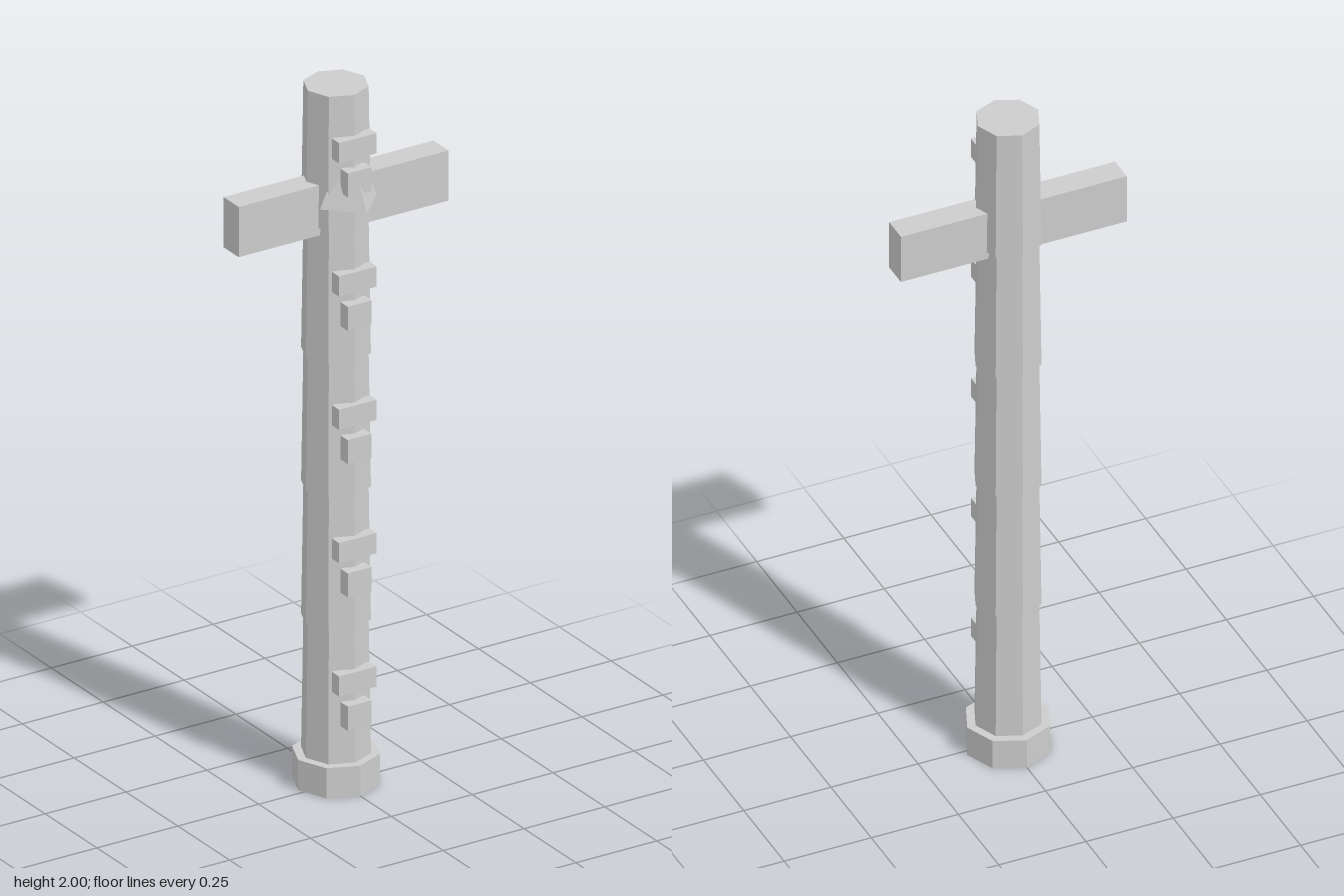
import * as THREE from 'three';

export function createModel() {
  const model = new THREE.Group();
  model.name = 'carvedPole';
  const stone = new THREE.MeshStandardMaterial({ color: 0xcccccc, flatShading: true });
  stone.name = 'light grey';

  const add = (name, geometry, x, y, z) => {
    const mesh = new THREE.Mesh(geometry, stone);
    mesh.name = name;
    mesh.position.set(x, y, z);
    model.add(mesh);
    return mesh;
  };

  const axisZ = -0.017; // the pole sits slightly behind the centre
  const baseHeight = 0.087;
  const sections = 5;
  const step = (2 - baseHeight) / sections;

  // Octagonal foot
  add('base', new THREE.CylinderGeometry(0.117, 0.117, baseHeight, 8), 0, baseHeight / 2, axisZ);

  // Stacked tapering sections, each with a brow and a nose block
  for (let i = 0; i < sections; i++) {
    const y = baseHeight + i * step;
    add('poleSection', new THREE.CylinderGeometry(0.087, 0.093, step, 8), 0, y + step / 2, axisZ);
    add('brow', new THREE.BoxGeometry(0.116, 0.058, 0.035), 0, y + 0.237, 0.071);
    add('nose', new THREE.BoxGeometry(0.074, 0.069, 0.035), 0, y + 0.143, 0.08);
  }

  // Wings on both sides of the top section
  for (const side of [-1, 1]) {
    add(side > 0 ? 'leftWing' : 'rightWing',
      new THREE.BoxGeometry(0.264, 0.144, 0.073), side * 0.192, 1.668, axisZ);
  }

  // Four-sided beak, partly sunk into the pole
  add('beak', new THREE.ConeGeometry(0.088, 0.19, 4), 0, 1.778, 0.043);

  return model;
}
